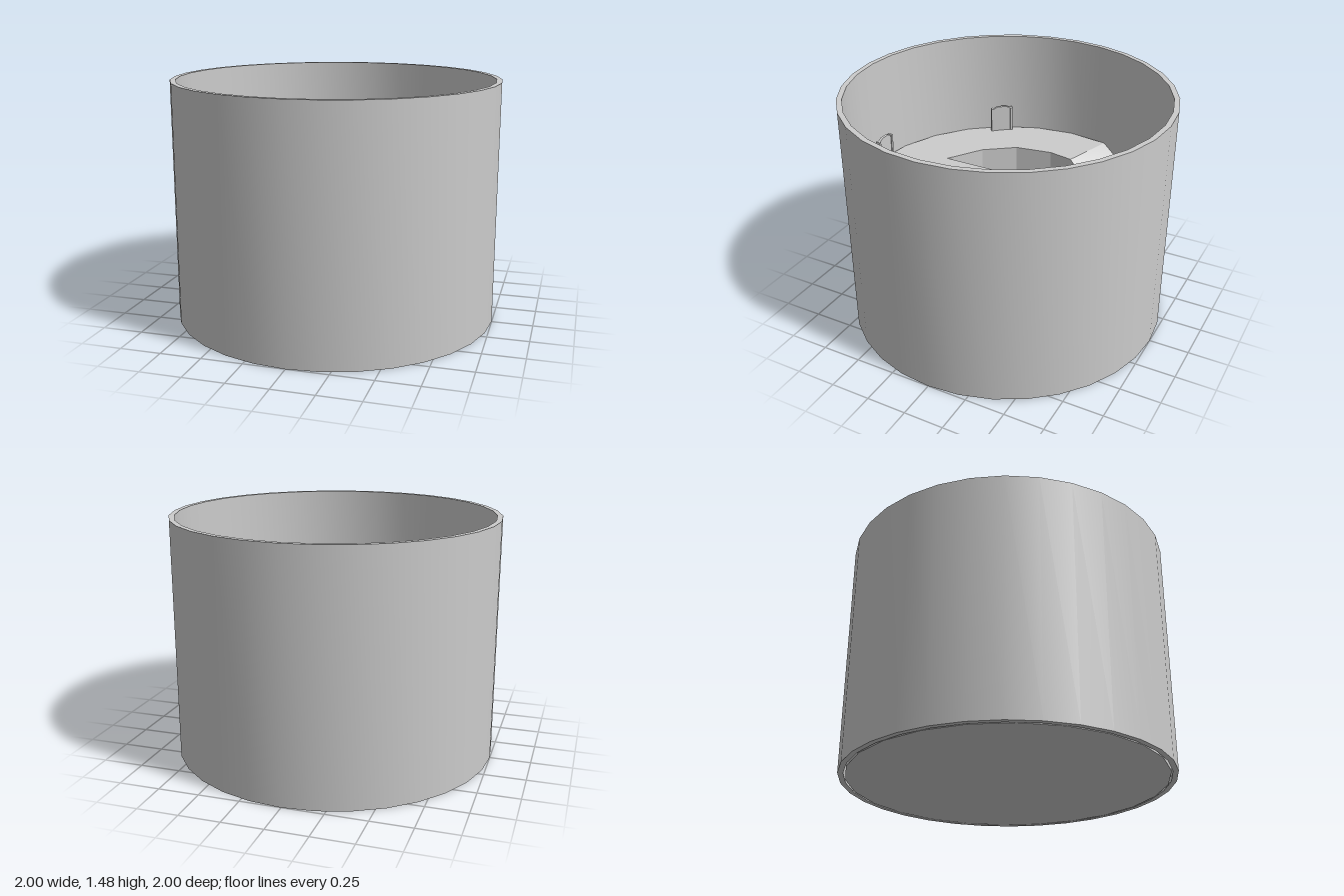
import * as THREE from 'three';
import { toCreasedNormals } from 'three/addons/utils/BufferGeometryUtils.js';

const HEIGHT = 1.475, FLOOR = 0.45, DECK = 0.8, R = 0.96;
const material = new THREE.MeshStandardMaterial({ color: 0xcccccc });

function part(name, geometry, parent, x = 0, y = 0, z = 0) {
  const mesh = new THREE.Mesh(geometry, material);
  mesh.name = name;
  mesh.position.set(x, y, z);
  parent.add(mesh);
  return mesh;
}

// Prism standing on y = 0 from a plan outline given as [x, z]
function prism(outline, height) {
  const shape = new THREE.Shape(outline.map(([x, z]) => new THREE.Vector2(x, -z)));
  const g = new THREE.ExtrudeGeometry(shape, { depth: height, bevelEnabled: false });
  return g.rotateX(-Math.PI / 2);
}

// Point on the outer edge; angle measured from +x toward the front
function rim(degrees) {
  const a = THREE.MathUtils.degToRad(degrees);
  return [R * Math.cos(a), R * Math.sin(a)];
}

// Curved ramp falling from the deck to the floor; side is 1 or -1
function rampGeometry(side) {
  const inner = [[0.59, -0.16], [0.58, -0.24], [0.51, -0.36], [0.34, -0.5], [0.33, -0.59]];
  const outerAngles = [-16, -25, -35, -45, -55.3];
  const pos = [], index = [];
  inner.forEach(([ix, iz], i) => {
    const [ox, oz] = rim(outerAngles[i]);
    const y = THREE.MathUtils.lerp(DECK, FLOOR + 0.002, i / 4);
    pos.push(side * ix, FLOOR, iz, side * ix, y, iz, side * ox, y, oz, side * ox, FLOOR, oz);
  });
  const quad = (a, b, c, d) => {
    if (side > 0) index.push(a, b, c, a, c, d);
    else index.push(a, c, b, a, d, c);
  };
  for (let i = 0; i < 4; i++) {
    const a = i * 4, b = a + 4;
    for (let k = 0; k < 3; k++) quad(a + k, a + k + 1, b + k + 1, b + k);
  }
  quad(16, 17, 18, 19);
  const g = new THREE.BufferGeometry();
  g.setAttribute('position', new THREE.Float32BufferAttribute(pos, 3));
  g.setIndex(index);
  return toCreasedNormals(g, 0.6);
}

// Small arched panel held between two posts
function panel(name, height, depth, parent) {
  const group = new THREE.Group();
  group.name = name;
  const s = new THREE.Shape();
  s.moveTo(-0.065, 0);
  s.lineTo(0.065, 0);
  s.lineTo(0.065, height * 0.9);
  s.lineTo(0.03, height);
  s.lineTo(-0.03, height);
  s.lineTo(-0.065, height * 0.9);
  const g = new THREE.ExtrudeGeometry(s, { depth: depth * 0.6, bevelEnabled: false });
  part('panelFace', g, group, 0, 0, -depth * 0.3);
  for (const x of [-0.067, 0.067]) {
    part('panelPost', new THREE.BoxGeometry(0.016, height * 0.93, depth), group, x, height * 0.465, 0);
  }
  parent.add(group);
  return group;
}

export function createModel() {
  const model = new THREE.Group();
  model.name = 'roundChamber';

  // Round outer wall
  const profile = [[0.967, 0], [1, 0], [1, HEIGHT], [0.967, HEIGHT], [0.967, 0]]
    .map(([r, y]) => new THREE.Vector2(r, y));
  part('outerWall', toCreasedNormals(new THREE.LatheGeometry(profile, 32), 0.6), model);

  // Floor disc
  const disc = toCreasedNormals(new THREE.CylinderGeometry(R, R, FLOOR, 24), 0.6);
  part('floor', disc, model, 0, FLOOR / 2, 0);

  // Horseshoe deck with a walkway reaching to the centre
  const outer = [rim(-16)];
  for (let a = 0; a <= 180; a += 15) outer.push(rim(a));
  outer.push(rim(196));
  const half = [[0.59, -0.16], [0.62, 0], [0.58, 0.24], [0.44, 0.43], [0.22, 0.575], [0.22, 0.08], [0.16, -0.1]];
  const left = half.map(([x, z]) => [-x, z]);
  part('upperDeck', prism([...outer, ...left, ...half.reverse()], DECK - FLOOR), model, 0, FLOOR, 0);

  // Ramps, and the low blocks against the deck's inner edge
  for (const side of [1, -1]) {
    part('ramp', rampGeometry(side), model);
    const block = [[0.5, 0.12], [0.61, 0.12], [0.59, 0.25], [0.5, 0.36]].map(([x, z]) => [side * x, z]);
    part('sideBlock', prism(block, 0.15), model, 0, FLOOR, 0);
  }

  // Upright panels by the wall and at the end of the walkway
  panel('frontPanel', 0.18, 0.03, model).position.set(0, DECK, 0.92);
  for (const side of [1, -1]) {
    const p = panel('sidePanel', 0.18, 0.03, model);
    p.position.set(side * 0.785, DECK, 0.465);
    p.rotation.y = side * 0.885;
  }
  panel('centrePanel', 0.12, 0.024, model).position.set(0, DECK, 0.01);

  // Small stud on the floor
  part('floorStud', new THREE.CylinderGeometry(0.02, 0.02, 0.04, 16), model, 0, FLOOR + 0.02, -0.5);
  return model;
}
